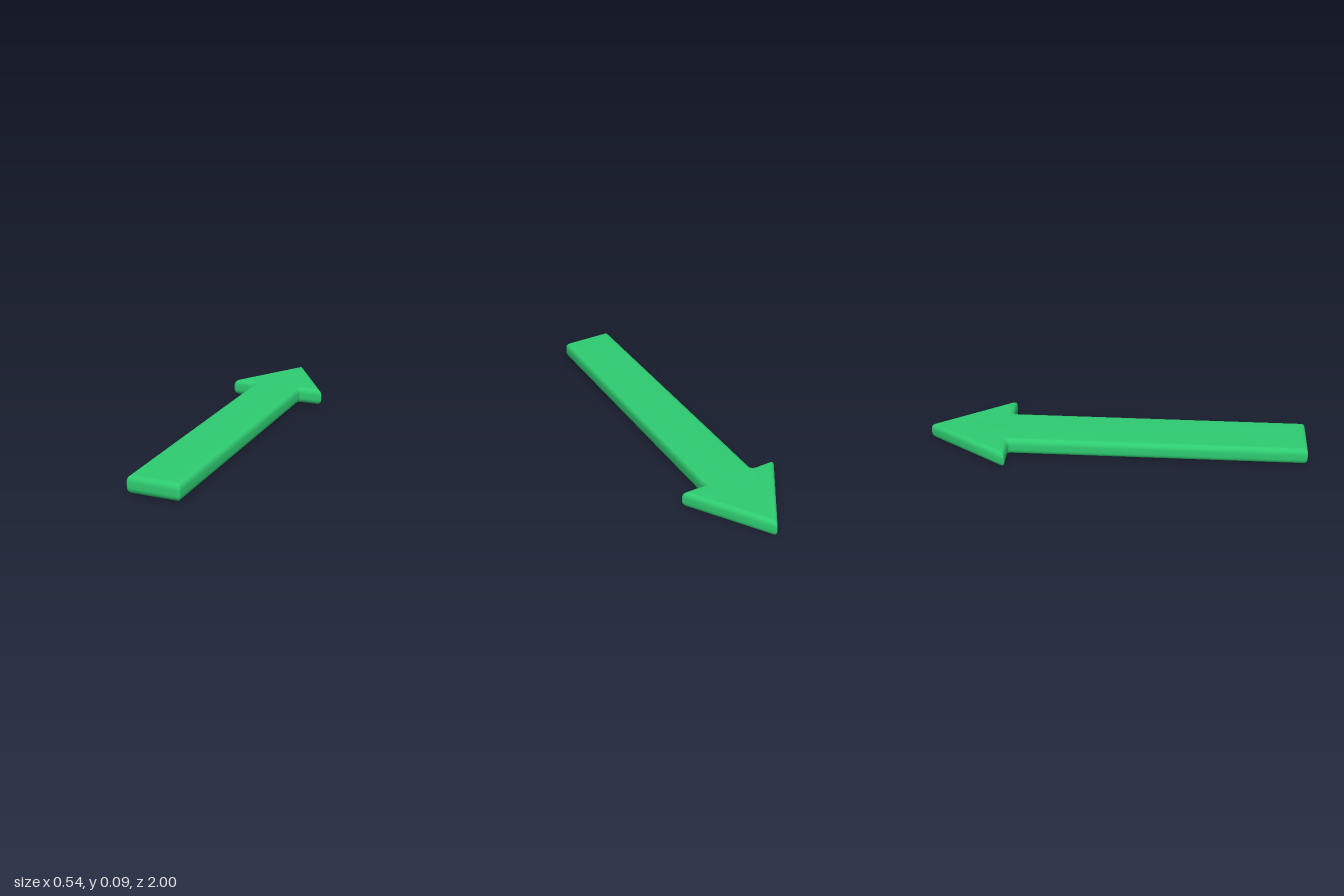
import * as THREE from 'three';
import { toCreasedNormals } from 'three/addons/utils/BufferGeometryUtils.js';

const HEIGHT = 0.09, INSET = 0.025, BEVEL = 0.031, STEPS = 6, ARC = 5;

// Arrow corners seen from above, counter-clockwise: [x, forward, corner cut]
const half = [[0.139, -1, 0.016], [0.139, 0.57, 0.02], [0.275, 0.57, 0.02]];
const corners = [
  ...half,
  [0, 1.006, 0.015],
  ...half.map(([x, v, c]) => [-x, v, c]).reverse(),
].map(([x, v, cut]) => ({ p: new THREE.Vector2(x, v), cut }));

// Outline moved inwards by a distance, with its corners rounded
function outline(inset) {
  const n = corners.length;
  const dir = (i) => corners[(i + 1) % n].p.clone().sub(corners[i % n].p).normalize();
  const points = [];
  corners.forEach(({ p, cut }, i) => {
    const before = dir(i + n - 1), after = dir(i);
    const n1 = new THREE.Vector2(-before.y, before.x);
    const n2 = new THREE.Vector2(-after.y, after.x);
    const corner = p.clone().addScaledVector(n1.clone().add(n2), inset / (1 + n1.dot(n2)));
    // outer corners sharpen towards the flat faces, inner ones widen
    const convex = before.cross(after) > 0;
    const c = convex ? Math.max(0.002, cut * (1 - inset / INSET)) : cut + inset;
    const curve = new THREE.QuadraticBezierCurve(
      corner.clone().addScaledVector(before, -c), corner, corner.clone().addScaledVector(after, c));
    points.push(...curve.getPoints(ARC));
  });
  return points;
}

function arrowGeometry() {
  // Edge profile from bottom to top: [inset, y]
  const lower = [[INSET + 0.003, 0]];
  for (let i = 0; i <= STEPS; i++) {
    const a = (i / STEPS) * Math.PI / 2;
    lower.push([INSET * (1 - Math.sin(a)), BEVEL * (1 - Math.cos(a))]);
  }
  const profile = [...lower, ...lower.map(([d, y]) => [d, HEIGHT - y]).reverse()];
  const rings = profile.map(([d]) => outline(d));
  const n = rings[0].length, last = (rings.length - 1) * n;

  const positions = [], index = [];
  rings.forEach((ring, k) => ring.forEach((p) => positions.push(p.x, profile[k][1], -p.y)));

  // Rounded side walls
  for (let k = 0; k < rings.length - 1; k++) {
    for (let j = 0; j < n; j++) {
      const a = k * n + j, b = k * n + (j + 1) % n;
      index.push(a, b, b + n, a, b + n, a + n);
    }
  }
  // Flat bottom and top
  for (const [a, b, c] of THREE.ShapeUtils.triangulateShape(rings[0], [])) {
    index.push(a, c, b, last + a, last + b, last + c);
  }
  const geometry = new THREE.BufferGeometry();
  geometry.setAttribute('position', new THREE.Float32BufferAttribute(positions, 3));
  geometry.setIndex(index);
  return toCreasedNormals(geometry, 0.7);
}

export function createModel() {
  const group = new THREE.Group();
  group.name = 'arrowModel';
  const material = new THREE.MeshStandardMaterial({ color: 0x2ecc71 });
  const arrow = new THREE.Mesh(arrowGeometry(), material);
  arrow.name = 'arrow';
  group.add(arrow);
  return group;
}
